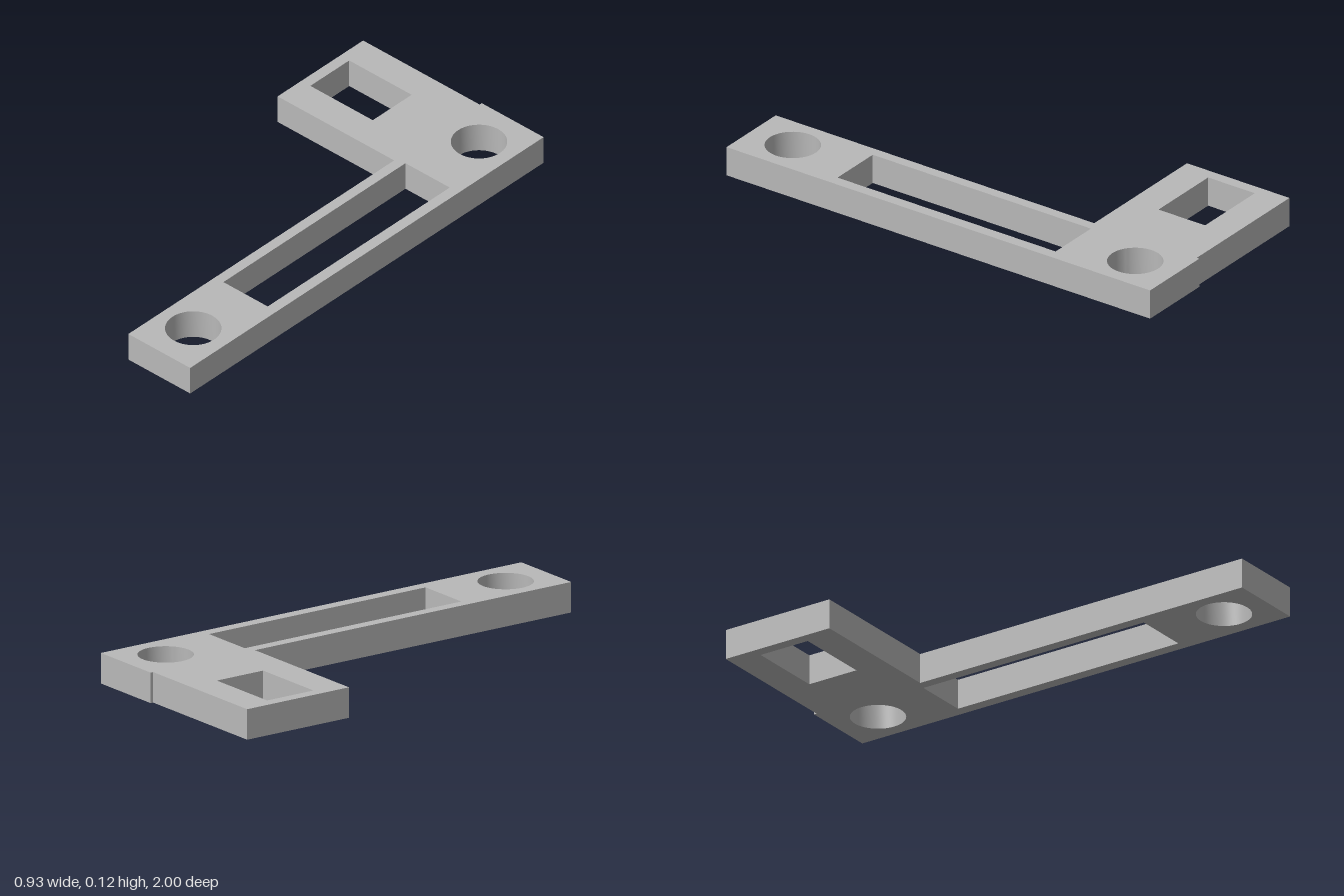
import * as THREE from 'three';
import { toCreasedNormals } from 'three/addons/utils/BufferGeometryUtils.js';

const THICKNESS = 0.122;

// Rectangle path on the plan, given by x and z limits (plan y = -z)
function rectPath(x0, x1, z0, z1) {
  return new THREE.Path([
    new THREE.Vector2(x0, -z0), new THREE.Vector2(x0, -z1),
    new THREE.Vector2(x1, -z1), new THREE.Vector2(x1, -z0),
  ]);
}

function circlePath(x, z, r) {
  return new THREE.Path().absarc(x, -z, r, 0, Math.PI * 2, true);
}

export function createModel() {
  const group = new THREE.Group();
  group.name = 'bracket';

  const grey = new THREE.MeshStandardMaterial({ color: 0xb8b8b8 });
  grey.name = 'grey';

  // Outline: long bar with a side tab set slightly in from the back end
  const outline = new THREE.Shape([
    [0.142, 1], [0.463, 1], [0.463, -1], [0.142, -1],
    [0.142, -0.988], [-0.463, -0.988], [-0.463, -0.504], [0.142, -0.504],
  ].map(([x, z]) => new THREE.Vector2(x, -z)));

  // Tab window, long slot and the two bolt holes
  outline.holes.push(
    rectPath(-0.416, -0.092, -0.858, -0.638),
    rectPath(0.186, 0.416, -0.52, 0.51),
    circlePath(0.3, -0.812, 0.108),
    circlePath(0.3, 0.805, 0.108),
  );

  const geometry = new THREE.ExtrudeGeometry(outline, {
    depth: THICKNESS, bevelEnabled: false, curveSegments: 32,
  });
  geometry.rotateX(-Math.PI / 2);

  const plate = new THREE.Mesh(toCreasedNormals(geometry, Math.PI / 6), grey);
  plate.name = 'bracketPlate';
  group.add(plate);
  return group;
}
